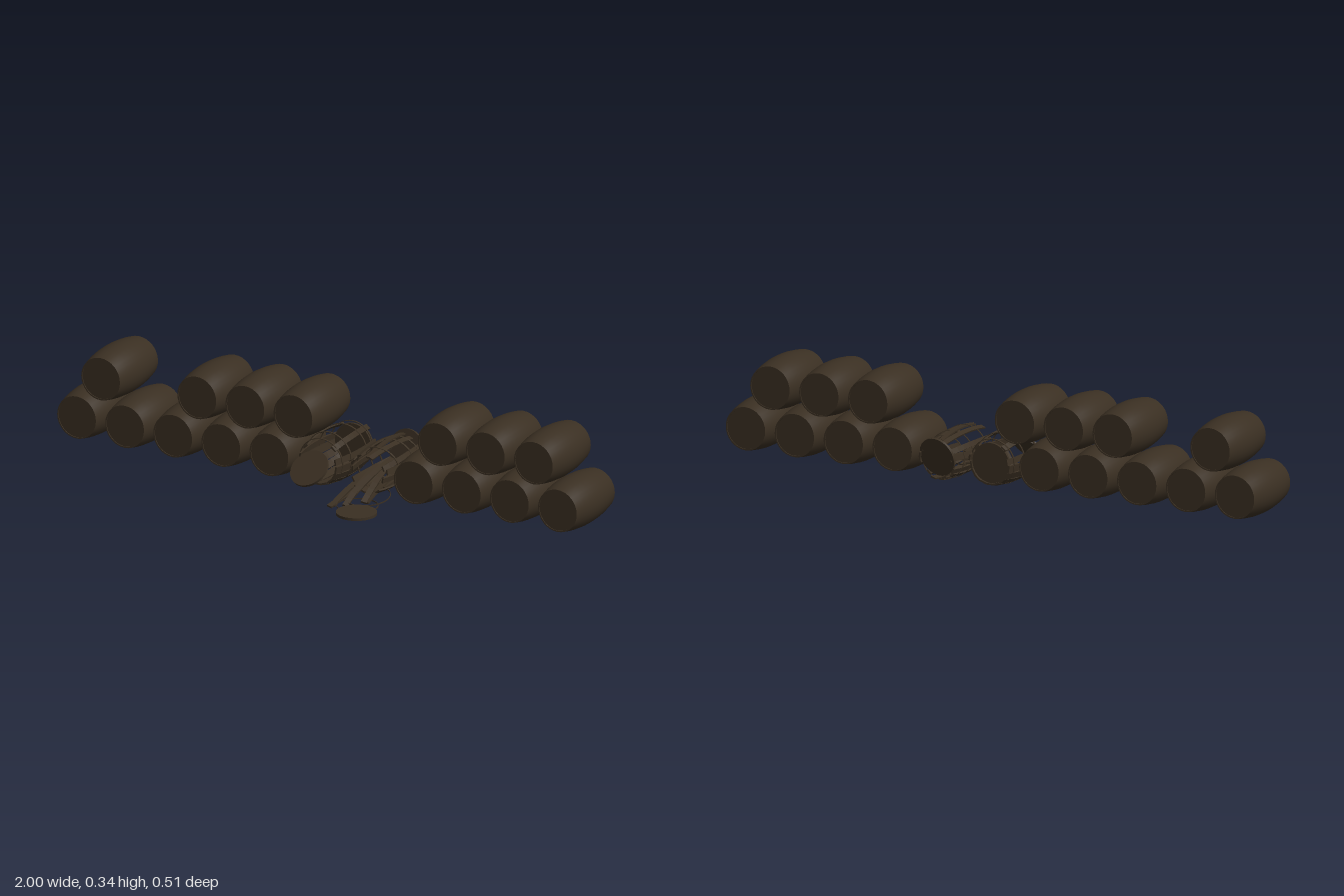
import * as THREE from 'three';
import { toCreasedNormals } from 'three/addons/utils/BufferGeometryUtils.js';

const wood = new THREE.MeshStandardMaterial({ color: 0x3a2f22 });
wood.name = 'dark wood';

const R = 0.0875, END = 0.0735, HALF = 0.125, STEP = 0.1825;
const bulge = z => R - (R - END) * (z / HALF) ** 2;

function add(parent, name, geometry, pos = [0, 0, 0], rot = [0, 0, 0]) {
  const mesh = new THREE.Mesh(geometry, wood);
  mesh.name = name;
  mesh.position.set(...pos);
  mesh.rotation.set(...rot);
  parent.add(mesh);
  return mesh;
}

// Whole barrel: bulged sides, narrow rims and slightly sunken heads, lying along z
function barrelGeometry() {
  const pts = [[0, -HALF + 0.003], [0.069, -HALF + 0.003], [0.069, -HALF]];
  for (let i = 0; i <= 8; i++) {
    const z = -HALF + (i / 8) * 2 * HALF;
    pts.push([bulge(z), z]);
  }
  pts.push([0.069, HALF], [0.069, HALF - 0.003], [0, HALF - 0.003]);
  const lathe = new THREE.LatheGeometry(pts.map(p => new THREE.Vector2(...p)), 32);
  return toCreasedNormals(lathe.rotateX(Math.PI / 2), 0.5);
}

// Bent plank running along z, bowed towards +y; radial offsets it from the barrel axis
function staveGeometry(width, radial = true) {
  const shape = new THREE.Shape();
  const off = radial ? 0 : -R;
  const N = 8, T = 0.006;
  for (let i = 0; i <= N; i++) {
    const z = -HALF + (i / N) * 2 * HALF;
    if (i === 0) shape.moveTo(z, bulge(z) - T + off);
    else shape.lineTo(z, bulge(z) - T + off);
  }
  for (let i = N; i >= 0; i--) {
    const z = -HALF + (i / N) * 2 * HALF;
    shape.lineTo(z, bulge(z) + off);
  }
  const g = new THREE.ExtrudeGeometry(shape, { depth: width, bevelEnabled: false });
  return g.translate(0, 0, -width / 2).rotateY(-Math.PI / 2);
}

// Thin flat band around the z axis
function hoopGeometry(radius, width = 0.007) {
  const r = radius + 0.0015, w = width / 2, i = radius - 0.0005;
  const pts = [[i, -w], [r, -w], [r, w], [i, w], [i, -w]].map(p => new THREE.Vector2(...p));
  return toCreasedNormals(new THREE.LatheGeometry(pts, 36).rotateX(Math.PI / 2), 0.5);
}

export function createModel() {
  const model = new THREE.Group();
  model.name = 'barrelStack';
  let seed = 7;
  const jitter = a => {
    seed = (seed * 16807) % 2147483647;
    return (seed / 2147483647 - 0.5) * 2 * a;
  };

  // Intact barrels in two stacked rows
  const whole = barrelGeometry();
  for (const i of [-5, -4, -3, -2, -1, 2, 3, 4, 5]) {
    add(model, 'lowerBarrel', whole, [i * STEP, 0.0925, -0.088]);
  }
  for (const i of [-4.5, -2.5, -1.5, -0.5, 2.5, 3.5, 4.5]) {
    add(model, 'upperBarrel', whole, [i * STEP, 0.2425, -0.088]);
  }

  const head = new THREE.CylinderGeometry(0.068, 0.068, 0.009, 32);
  const stave = staveGeometry(0.025);
  const thinStave = staveGeometry(0.02);
  const loose = staveGeometry(0.02, false);

  // Broken barrel: upper staves missing or slipped, hoops still in place
  const broken = new THREE.Group();
  broken.name = 'brokenBarrel';
  broken.position.set(-0.002, 0.0925, -0.095);
  model.add(broken);
  const COUNT = 18;
  for (let i = 0; i < COUNT; i++) {
    if ([0, 1, 3, 15, 17].includes(i)) continue;
    const upper = i < 5 || i > 13;
    const a = -(i / COUNT) * Math.PI * 2;
    const m = add(broken, 'stave', upper ? thinStave : stave,
      [0, 0, upper ? jitter(0.012) : jitter(0.003)], [0, 0, a]);
    if (upper) m.rotation.y = jitter(0.06);
  }
  for (const z of [-0.1, -0.045, 0.045, 0.1]) {
    add(broken, 'hoop', hoopGeometry(bulge(z)), [0, 0, z], [jitter(0.06), jitter(0.06), 0]);
  }
  add(broken, 'rearHead', head, [0, 0, -0.112], [Math.PI / 2, 0, 0]);
  // Front head fallen out and leaning on the opening
  add(model, 'leaningHead', head, [-0.02, 0.078, 0.052], [0.72, 0, 0.1]);

  // Collapsed barrel: a squashed, loosened ring of staves
  const collapsed = new THREE.Group();
  collapsed.name = 'collapsedBarrel';
  collapsed.position.set(0.182, 0.084, -0.105);
  collapsed.scale.set(0.9, 0.9, 1);
  model.add(collapsed);
  for (let i = 0; i < COUNT; i++) {
    if ([2, 6, 13, 16].includes(i)) continue;
    const a = -(i / COUNT) * Math.PI * 2 + jitter(0.08);
    add(collapsed, 'stave', thinStave, [jitter(0.006), 0, jitter(0.012)],
      [jitter(0.03), jitter(0.07), a]);
  }
  for (const z of [-0.09, -0.04, 0.05]) {
    add(collapsed, 'hoop', hoopGeometry(bulge(z)), [0, 0, z], [jitter(0.2), jitter(0.15), 0]);
  }
  // Its rear head tips backwards
  add(model, 'tippedHead', head, [0.185, 0.095, -0.232], [Math.PI / 2 - 0.25, 0, 0.12]);

  // Staves spilled forward out of the collapsed barrel
  const spilled = [
    [0.125, 0.04, 0.012, 0.22, -0.10], [0.15, 0.048, 0.0, 0.27, 0.05],
    [0.135, 0.022, 0.02, 0.08, -0.22], [0.165, 0.062, -0.03, 0.32, -0.12],
    [0.19, 0.058, -0.04, 0.3, 0.1], [0.21, 0.045, -0.05, 0.2, -0.05],
  ];
  for (const [x, y, z, pitch, yaw] of spilled) {
    add(model, 'spilledStave', loose, [x, y, z], [pitch, yaw, jitter(0.25)]);
  }

  // Loose hoops and a head lying on the ground
  const flat = Math.PI / 2;
  add(model, 'fallenHoop', hoopGeometry(0.068, 0.004), [0.19, 0.002, 0.1], [flat, 0, 0]);
  add(model, 'fallenHoop', hoopGeometry(0.078, 0.004), [0.185, 0.014, 0.03], [flat + 0.12, 0, 0]);
  add(model, 'fallenHead', head, [0.235, 0.0105, 0.184], [0, 0, 0]);

  return model;
}
